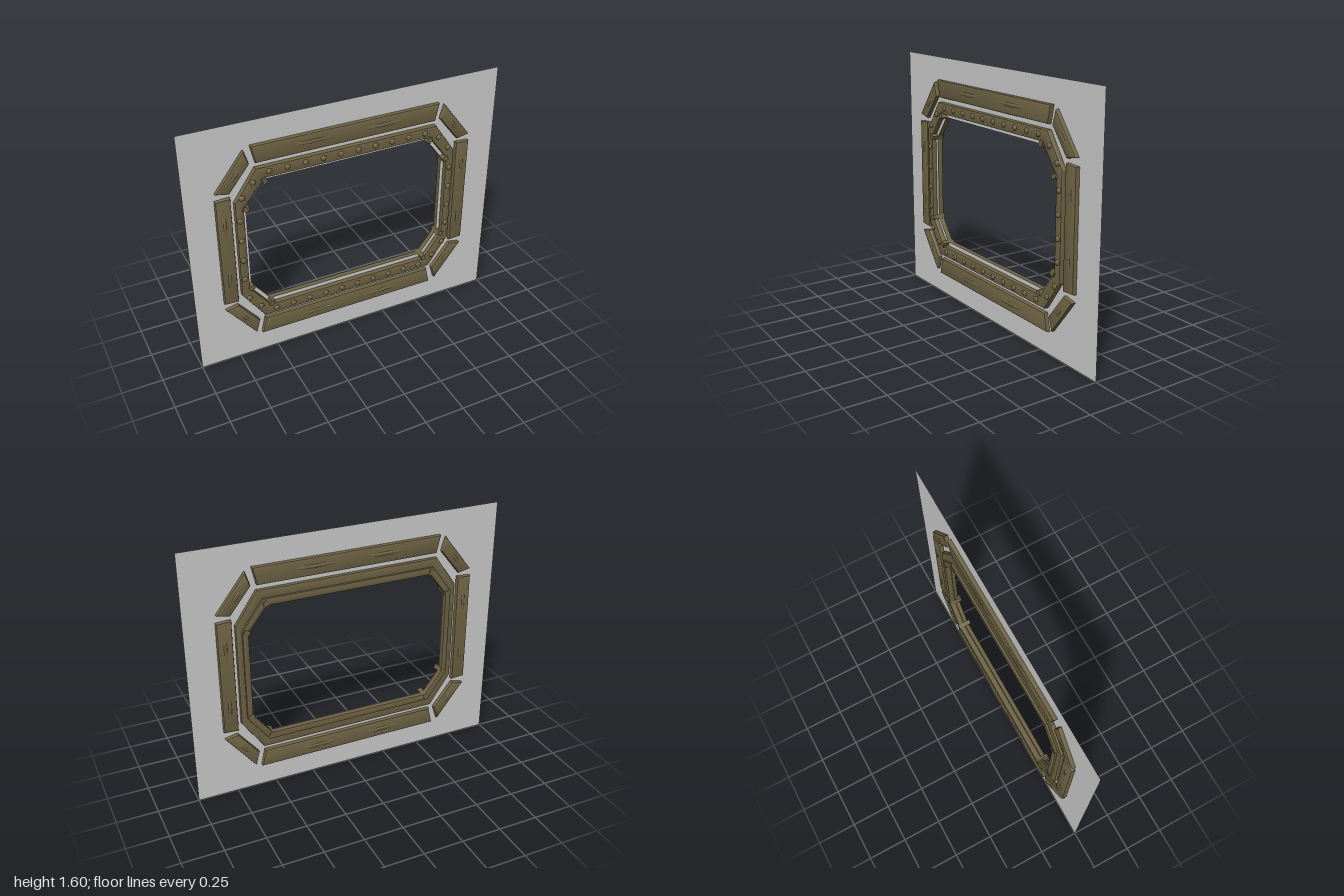
import * as THREE from 'three';
import { toCreasedNormals } from 'three/addons/utils/BufferGeometryUtils.js';

const bronze = new THREE.MeshStandardMaterial({ color: 0x6f6445 });
const grey = new THREE.MeshStandardMaterial({ color: 0xcccccc, side: THREE.DoubleSide });

// Polygon from [x, y] pairs
const toPoints = (list) => list.map(([x, y]) => new THREE.Vector2(x, y));

// Chamfered octagon: half width, half height, flat half lengths
function octagon(hx, hy, fx, fy) {
  return toPoints([[hx, -fy], [hx, fy], [fx, hy], [-fx, hy], [-hx, fy], [-hx, -fy], [-fx, -hy], [fx, -hy]]);
}

function ringShape(outer, inner) {
  const shape = new THREE.Shape(outer);
  shape.holes.push(new THREE.Path(inner));
  return shape;
}

// Bevelled slab between two depths, kept inside the given outline
function slab(shape, z0, z1, bevel) {
  const geo = new THREE.ExtrudeGeometry(shape, {
    depth: z1 - z0 - 2 * bevel, bevelEnabled: true, bevelThickness: bevel,
    bevelSize: bevel, bevelOffset: -bevel, bevelSegments: 2,
  });
  geo.translate(0, 0, z0 + bevel);
  return toCreasedNormals(geo, 0.6);
}

function add(parent, name, geo, mat = bronze) {
  const mesh = new THREE.Mesh(geo, mat);
  mesh.name = name;
  parent.add(mesh);
  return mesh;
}

export function createModel() {
  const model = new THREE.Group();
  model.name = 'framedWindow';
  const body = new THREE.Group();
  body.name = 'window';
  body.position.set(-0.005, 0.8, 0);
  model.add(body);

  const outer = octagon(0.71, 0.515, 0.575, 0.32);
  const middle = octagon(0.66, 0.445, 0.535, 0.28);
  const hole = octagon(0.64, 0.42, 0.525, 0.272);

  // Thin wall panel with the opening
  const wall = toPoints([[-0.995, -0.8], [1.005, -0.8], [1.005, 0.8], [-0.995, 0.8]]);
  add(body, 'wallPanel', new THREE.ShapeGeometry(ringShape(wall, hole)), grey);

  // Riveted frame in front, flange and stepped lip behind
  add(body, 'frontFrame', slab(ringShape(outer, middle), -0.008, 0.031, 0.006));
  add(body, 'backFlange', slab(ringShape(outer, middle), -0.024, 0.004, 0.005));
  add(body, 'backLip', slab(ringShape(octagon(0.675, 0.463, 0.545, 0.287), hole), -0.037, -0.002, 0.004));

  // Collars over the joints at the corners of the opening
  hole.forEach((p, i) => {
    const m = middle[i];
    const sx = Math.sign(p.x), sy = Math.sign(p.y);
    const steep = Math.abs(p.x) > 0.6;
    const collar = add(body, 'jointCollar', new THREE.BoxGeometry(0.036, 0.028, 0.082));
    collar.position.set((p.x + m.x) / 2, (p.y + m.y) / 2, 0);
    collar.rotation.z = Math.atan2(sy * (steep ? 0.38 : 0.92), sx * (steep ? 0.92 : 0.38));
  });

  // Rivets on the front frame
  const rivetGeo = new THREE.SphereGeometry(0.018, 12, 6, 0, Math.PI * 2, 0, Math.PI / 2);
  rivetGeo.rotateX(Math.PI / 2);
  rivetGeo.scale(1, 1, 0.65);
  const rivet = (x, y) => add(body, 'rivet', rivetGeo).position.set(x, y, 0.03);
  for (const s of [-1, 1]) {
    for (let i = 0; i < 10; i++) rivet(-0.498 + i * 0.1107, s * 0.482);
    for (let i = 0; i < 4; i++) rivet(s * 0.686, -0.204 + i * 0.136);
    for (const t of [-1, 1]) {
      rivet(s * 0.597, t * 0.434);
      rivet(s * 0.667, t * 0.35);
    }
  }

  // Padded outer bars with shallow swellings on both faces
  const bar = (name, list) => add(body, name, slab(new THREE.Shape(toPoints(list)), -0.026, 0.026, 0.011));
  const swell = (x, y, length, width, angle) => {
    const mesh = add(body, 'barSwelling', new THREE.SphereGeometry(1, 20, 12));
    mesh.scale.set(length / 2, width / 2, 0.031);
    mesh.position.set(x, y, 0);
    mesh.rotation.z = angle;
  };
  for (const s of [-1, 1]) {
    bar('horizontalBar', [[-0.595, s * 0.655], [-0.57, s * 0.545], [0.57, s * 0.545], [0.595, s * 0.655]]);
    bar('verticalBar', [[s * 0.73, -0.362], [s * 0.82, -0.357], [s * 0.82, 0.357], [s * 0.73, 0.362]]);
    for (const t of [-1, 1]) {
      bar('cornerBar', [[s * 0.815, t * 0.405], [s * 0.635, t * 0.637], [s * 0.608, t * 0.548], [s * 0.735, t * 0.388]]);
      swell(t * 0.222, s * 0.603, 0.46, 0.042, 0);
      swell(s * 0.776, t * 0.19, 0.26, 0.036, Math.PI / 2);
      swell(s * 0.7, t * 0.495, 0.16, 0.036, -s * t * 0.91);
    }
  }
  return model;
}
